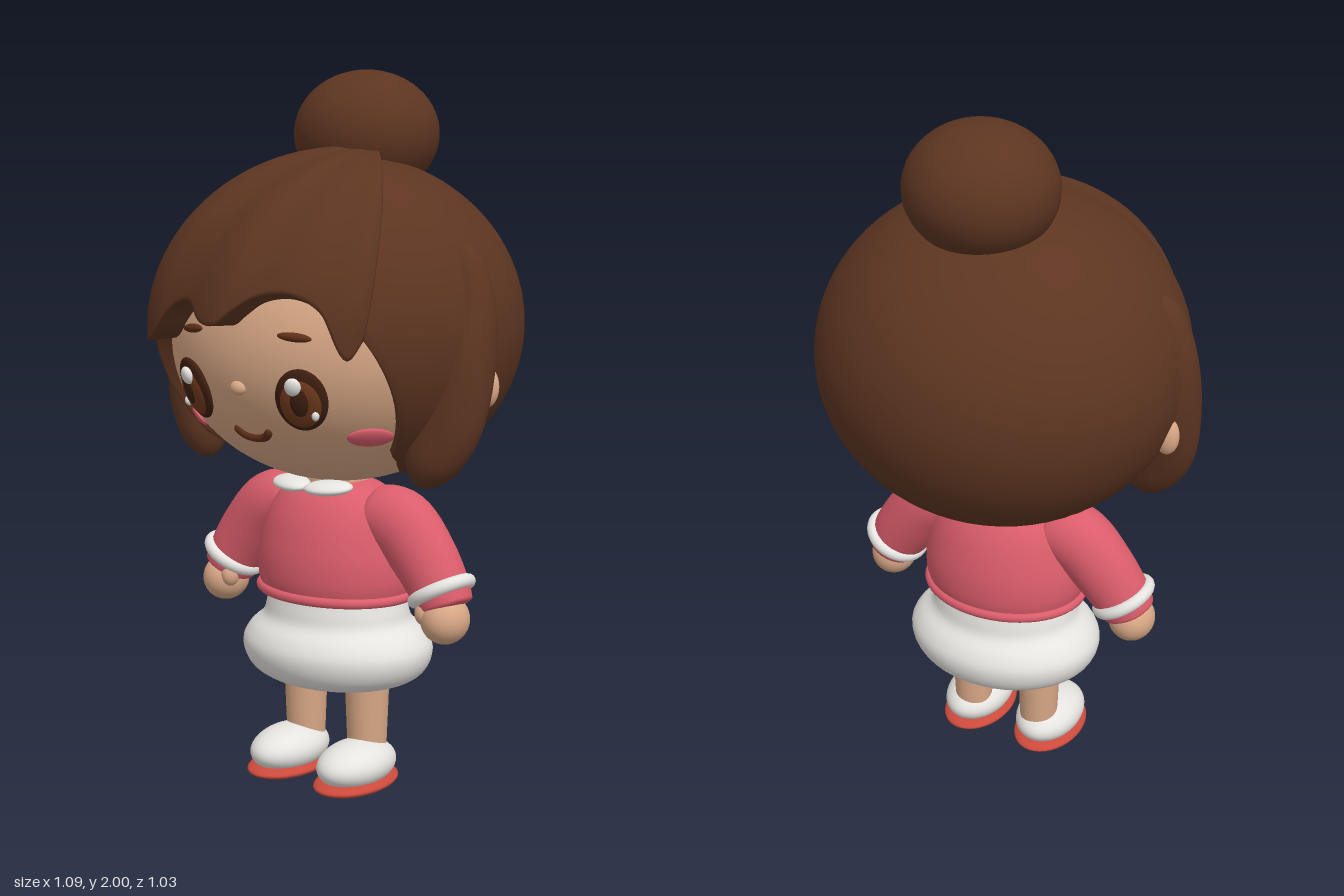
import * as THREE from 'three';
import { mergeVertices } from 'three/addons/utils/BufferGeometryUtils.js';

const V = (x, y, z) => new THREE.Vector3(x, y, z);
const { lerp, smoothstep } = THREE.MathUtils;

const mat = (name, color, extra = {}) => {
  const m = new THREE.MeshStandardMaterial({ color, ...extra });
  m.name = name;
  return m;
};

// Smooth surface from a function of (u, v)
function grid(f, nu, nv) {
  const pos = [], idx = [];
  for (let j = 0; j <= nv; j++)
    for (let i = 0; i <= nu; i++) pos.push(...f(i / nu, j / nv).toArray());
  for (let j = 0; j < nv; j++)
    for (let i = 0; i < nu; i++) {
      const a = j * (nu + 1) + i, d = a + nu + 1;
      idx.push(a, a + 1, d + 1, a, d + 1, d);
    }
  let g = new THREE.BufferGeometry();
  g.setAttribute('position', new THREE.Float32BufferAttribute(pos, 3));
  g.setIndex(idx);
  g = mergeVertices(g, 1e-5);
  g.computeVertexNormals();
  return g;
}

// Rounded sweep along a path with elliptical sections [across, depth]
function sweep(points, radii, cap = 0.12) {
  const path = new THREE.CatmullRomCurve3(points);
  const size = new THREE.CatmullRomCurve3(radii.map(([a, b]) => V(a, b, 0)));
  return grid((u, v) => {
    const t = (1 - Math.cos(Math.PI * v)) / 2;
    const c = path.getPoint(t), r = size.getPoint(t), T = path.getTangent(t);
    const W = V(0, 0, 1).addScaledVector(T, -T.z).normalize();
    const S = W.clone().cross(T);
    const k = Math.min(1, Math.min(t, 1 - t) / cap);
    const round = Math.sqrt(Math.max(0, 1 - (1 - k) ** 2)), a = u * Math.PI * 2;
    return c.addScaledVector(S, Math.cos(a) * r.x * round)
      .addScaledVector(W, Math.sin(a) * r.y * round);
  }, 28, 36);
}

export function createModel() {
  const root = new THREE.Group();
  const hair = mat('hair brown', 0x5d3521, { side: THREE.DoubleSide });
  const skin = mat('skin', 0xd9a886);
  const pink = mat('sweater pink', 0xdb5d6b);
  const white = mat('cloth white', 0xe6e4e0);
  const red = mat('sole red', 0xcc4a3c);
  const dark = mat('dark brown', 0x3f1f10);
  const iris = mat('iris brown', 0x713a1c);
  const brown = mat('line brown', 0x5e2f18);

  const add = (name, geo, material, parent = root) => {
    const m = new THREE.Mesh(geo, material);
    m.name = name;
    parent.add(m);
    return m;
  };
  const ball = (name, material, p, r, parent = root) => {
    const m = add(name, new THREE.SphereGeometry(1, 40, 28), material, parent);
    m.position.set(...p);
    m.scale.set(...r);
    return m;
  };
  const lathe = (name, pts, material, zScale, z) => {
    const curve = new THREE.SplineCurve(pts.map(p => new THREE.Vector2(...p)));
    const profile = curve.getPoints(40).map(p => p.setX(Math.max(0, p.x)));
    const m = add(name, new THREE.LatheGeometry(profile, 48), material);
    m.scale.z = zScale;
    m.position.z = z;
    return m;
  };

  // Head
  const HC = V(0, 1.27, 0), HR = V(0.48, 0.4, 0.45);
  ball('head', skin, HC.toArray(), HR.toArray());
  const neck = add('neck', new THREE.CylinderGeometry(0.09, 0.1, 0.14, 28), skin);
  neck.position.set(0, 0.87, 0.01);

  // Point on the face, and a group lying flat on it
  const facePoint = (x, y) => V(x, y,
    HR.z * Math.sqrt(1 - (x / HR.x) ** 2 - ((y - HC.y) / HR.y) ** 2));
  const onFace = (name, x, y) => {
    const g = new THREE.Group(), p = facePoint(x, y);
    g.name = name;
    g.position.copy(p);
    g.lookAt(p.clone().add(p.clone().sub(HC).divide(HR).divide(HR)));
    root.add(g);
    return g;
  };

  ball('nose', skin, [0, 1.175, 0.435], [0.025, 0.02, 0.018]);
  const smile = [[-0.06, 1.062], [-0.035, 1.04], [0, 1.034], [0.035, 1.04], [0.06, 1.062]];
  add('mouth', sweep(smile.map(([x, y]) => facePoint(x, y)),
    smile.map(() => [0.012, 0.01])), brown);

  // Hair cap: ellipsoid shell, open at the face and cut level at the nape
  const CC = V(0, 1.31, 0), CR = V(0.515, 0.465, 0.505);
  const onHair = (dir, s) => dir.clone().multiply(CR).multiplyScalar(s).add(CC);
  const axis = V(0, -0.44, 0.898), down = V(0, -0.898, -0.44);
  add('hairCap', grid((u, v) => {
    const f = -u * Math.PI * 2, c = 0.898 * Math.cos(f);
    const alpha = Math.atan2(c, 0.44), R = Math.hypot(c, 0.44);
    const open = Math.max(0.873, alpha + Math.acos(Math.min(1, 0.839 / R)));
    const row = Math.max(0, v * 50 - 2) / 48, th = lerp(open, Math.PI, row);
    const dir = axis.clone().multiplyScalar(Math.cos(th))
      .addScaledVector(down, Math.sin(th) * Math.cos(f));
    dir.x = Math.sin(th) * Math.sin(f);
    return onHair(dir, v === 0 ? 0.86 : v < 0.03 ? 0.99 : 1);
  }, 80, 50), hair);

  // Fringe: strands fan from the crown to a lobed edge (x, y, lift)
  const edge = new THREE.CatmullRomCurve3([
    [-0.38, 1.36, 0.02], [-0.345, 1.275, 0.05], [-0.29, 1.29, 0.05], [-0.2, 1.38, 0.015],
    [-0.13, 1.4, 0.008], [-0.06, 1.35, 0.035], [-0.005, 1.345, 0.045], [0.04, 1.38, 0.03],
    [0.1, 1.42, 0.01], [0.19, 1.43, 0.025], [0.27, 1.39, 0.03], [0.33, 1.27, 0.05],
    [0.37, 1.33, 0.02],
  ].map(p => V(...p)));
  const crown = V(0.2, 0.97, -0.05).normalize();
  add('fringe', grid((u, v) => {
    const e = edge.getPoint(u), t = v < 0.05 ? 1 : 1 - (v - 0.05) / 0.95;
    const x = e.x / CR.x / 1.03, y = (e.y - CC.y) / CR.y / 1.03;
    const tip = V(x, y, Math.sqrt(1 - x * x - y * y));
    const dir = crown.clone().lerp(tip, t).normalize();
    let lift = lerp(0.045, e.z, smoothstep(t, 0, 0.75));
    if (u === 0 || u === 1) lift = -0.03;
    return onHair(dir, v === 0 ? 0.87 : 1 + lift);
  }, 96, 40), hair);

  ball('hairBun', hair, [0, 1.825, -0.125], [0.205, 0.175, 0.2]);

  // Torso clothing
  lathe('sweaterBody', [[0.225, 0.545], [0.24, 0.6], [0.236, 0.68], [0.205, 0.78],
    [0.15, 0.85], [0.07, 0.88]], pink, 0.8, 0.013);
  const hem = add('sweaterHem', new THREE.TorusGeometry(0.232, 0.014, 12, 56), pink);
  hem.rotation.x = Math.PI / 2;
  hem.scale.y = 0.81;
  hem.position.set(0, 0.557, 0.013);
  lathe('skirt', [[0, 0.3], [0.1, 0.295], [0.19, 0.295], [0.25, 0.318], [0.28, 0.355],
    [0.287, 0.4], [0.265, 0.44], [0.226, 0.475], [0.213, 0.515], [0.2, 0.56]], white, 0.83, 0.01);

  for (const s of [-1, 1]) {
    const side = s > 0 ? 'left' : 'right';

    // Eye: rim, iris, pupil and two glints
    const eye = onFace(side + 'Eye', s * 0.18, 1.155);
    ball('eyeRim', dark, [0, 0, 0], [0.071, 0.088, 0.02], eye);
    ball('iris', iris, [0, -0.004, 0.004], [0.06, 0.074, 0.022], eye);
    ball('pupil', dark, [0, 0, 0.009], [0.035, 0.052, 0.021], eye);
    ball('bigGlint', white, [-s * 0.014, 0.046, 0.02], [0.022, 0.025, 0.014], eye);
    ball('smallGlint', white, [s * 0.038, -0.036, 0.016], [0.01, 0.014, 0.012], eye);

    const brow = onFace(side + 'Brow', s * 0.172, 1.318);
    ball('brow', brown, [0, 0, 0], [0.047, 0.012, 0.012], brow).rotation.z = -s * 0.08;
    const blush = onFace(side + 'Blush', s * 0.295, 1.05);
    ball('blush', pink, [0, 0, 0], [0.062, 0.032, 0.012], blush);

    ball(side + 'Ear', skin, [s * 0.485, 1.17, -0.003], [0.035, 0.055, 0.028]);

    // Long lock beside the face
    add(side + 'SideLock', sweep(
      [V(s * 0.43, 1.55, 0.04), V(s * 0.46, 1.4, 0.05), V(s * 0.465, 1.25, 0.07),
        V(s * 0.43, 1.08, 0.1), V(s * 0.365, 0.908, 0.135)],
      [[0.045, 0.045], [0.07, 0.065], [0.08, 0.085], [0.1, 0.075], [0.06, 0.055]]), hair);

    // Arm
    add(side + 'Sleeve', sweep(
      [V(s * 0.12, 0.79, 0.015), V(s * 0.225, 0.765, 0.015), V(s * 0.305, 0.685, 0.018),
        V(s * 0.365, 0.6, 0.025), V(s * 0.39, 0.55, 0.03)],
      [[0.08, 0.08], [0.1, 0.09], [0.095, 0.085], [0.084, 0.08], [0.075, 0.072]], 0.08), pink);
    const cuff = add(side + 'Cuff', new THREE.TorusGeometry(0.079, 0.019, 14, 40), white);
    cuff.position.set(s * 0.368, 0.602, 0.025);
    cuff.lookAt(cuff.position.clone().add(V(s * 0.5, -0.86, 0.08)));
    ball(side + 'Hand', skin, [s * 0.39, 0.53, 0.04], [0.066, 0.068, 0.072]);
    ball(side + 'Thumb', skin, [s * 0.345, 0.548, 0.075], [0.026, 0.034, 0.028]);

    // Collar lobe
    const collar = ball(side + 'Collar', white, [s * 0.064, 0.868, 0.135], [0.07, 0.019, 0.045]);
    collar.rotation.set(0.15, s * 0.35, 0);

    // Leg and shoe
    const leg = add(side + 'Leg', new THREE.CylinderGeometry(0.066, 0.055, 0.28, 28), skin);
    leg.position.set(s * 0.11, 0.23, 0.015);
    ball(side + 'Shoe', white, [s * 0.12, 0.075, 0.078], [0.095, 0.065, 0.14]);
    ball(side + 'Sole', red, [s * 0.12, 0.026, 0.08], [0.1, 0.026, 0.15]);
  }

  return root;
}
